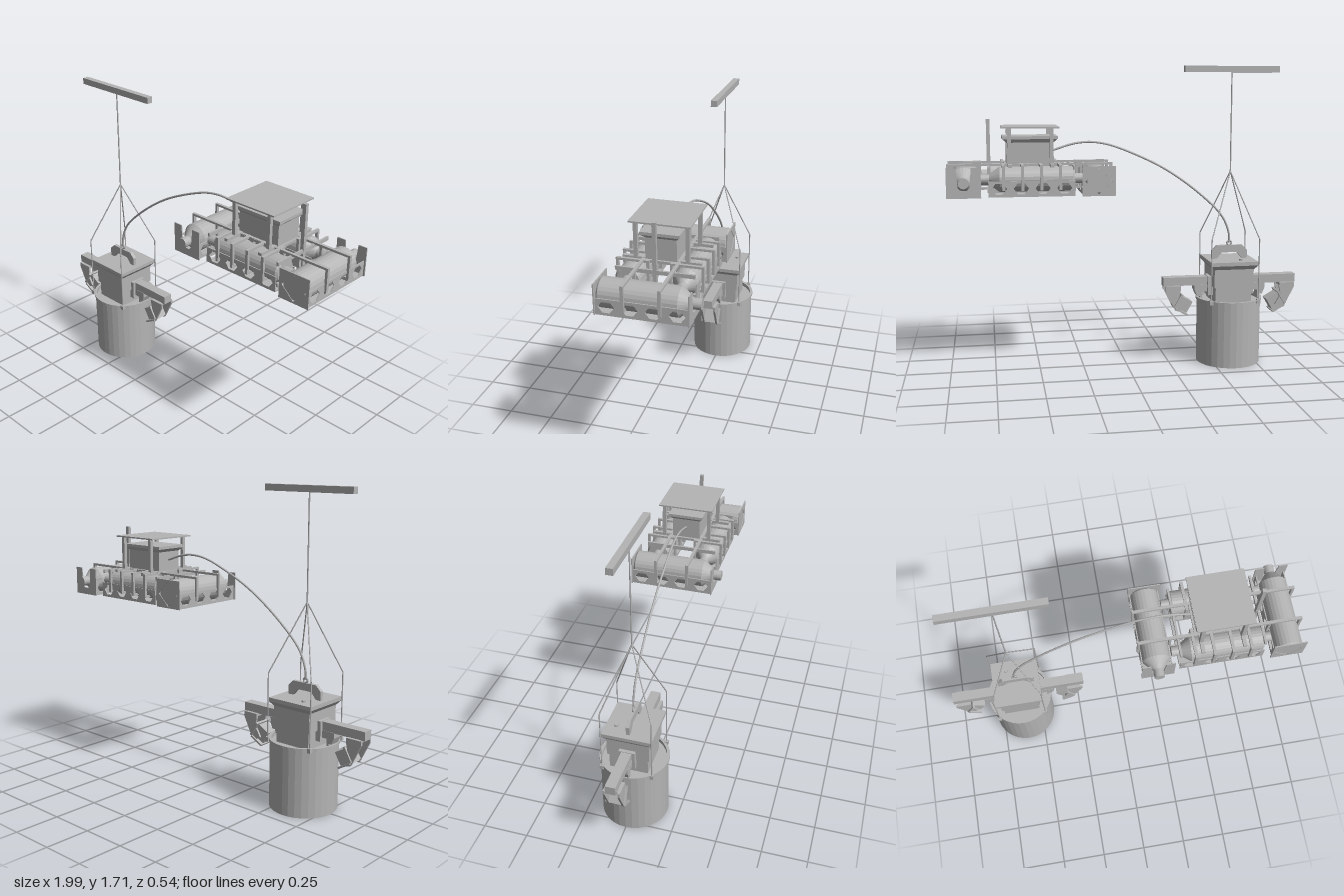
import * as THREE from 'three';

const grey = new THREE.MeshStandardMaterial({ color: 0xb4b4b4 });
grey.name = 'plain grey';
const sheetGrey = grey;

export function createModel() {
  const root = new THREE.Group();
  const V = (x, y, z = 0) => new THREE.Vector3(x, y, z);

  function group(name, parent = root, x = 0, y = 0, z = 0) {
    const g = new THREE.Group();
    g.name = name;
    g.position.set(x, y, z);
    parent.add(g);
    return g;
  }
  function add(parent, name, geo, x = 0, y = 0, z = 0) {
    const m = new THREE.Mesh(geo, sheetGrey);
    m.name = name;
    m.position.set(x, y, z);
    parent.add(m);
    return m;
  }
  // box from its limits on each axis
  function box(parent, name, x0, x1, y0, y1, z0, z1) {
    return add(parent, name, new THREE.BoxGeometry(x1 - x0, y1 - y0, z1 - z0),
      (x0 + x1) / 2, (y0 + y1) / 2, (z0 + z1) / 2);
  }
  const faceted = (geo) => {
    const g = geo.toNonIndexed();
    g.computeVertexNormals();
    return g;
  };
  // flat plate in the xy plane, centred on z = 0, with optional holes
  function plate(parent, name, pts, t, holes = []) {
    const s = new THREE.Shape(pts.map(p => new THREE.Vector2(...p)));
    for (const h of holes) s.holes.push(new THREE.Path(h.map(p => new THREE.Vector2(...p))));
    const geo = new THREE.ExtrudeGeometry(s, { depth: t, bevelEnabled: false });
    geo.translate(0, 0, -t / 2);
    return add(parent, name, geo);
  }
  const rect = (x0, x1, y0, y1) => [[x0, y0], [x1, y0], [x1, y1], [x0, y1]];
  function rod(parent, name, a, b, r) {
    const d = b.clone().sub(a);
    const m = add(parent, name, new THREE.CylinderGeometry(r, r, d.length(), 8));
    m.position.copy(a).addScaledVector(d, 0.5);
    m.quaternion.setFromUnitVectors(V(0, 1), d.normalize());
    return m;
  }
  // four-sided flare from half sizes (bx, bz) up to (tx, tz)
  function flare(parent, name, bx, bz, k, y0, y1) {
    const geo = new THREE.CylinderGeometry(Math.SQRT2 * k, Math.SQRT2, y1 - y0, 4, 1);
    geo.rotateY(Math.PI / 4);
    geo.scale(bx, 1, bz);
    return add(parent, name, faceted(geo), 0, (y0 + y1) / 2, 0);
  }

  // ---- Hoist bar, cable and slings
  const cx = -0.605;
  const hoist = group('hoist', root, cx);
  box(hoist, 'hoistBar', -0.275, 0.275, 1.675, 1.71, -0.018, 0.018);
  rod(hoist, 'hoistCable', V(0, 1.11), V(0, 1.68), 0.004);
  for (const sx of [-1, 1]) for (const sz of [-1, 1]) {
    const k = V(sx * 0.139, 0.74, sz * 0.139);
    rod(hoist, 'slingUpper', V(0, 1.115), k, 0.0035);
    rod(hoist, 'slingLower', k, V(k.x, 0.375, k.z), 0.0035);
    box(hoist, 'slingLug', k.x - 0.01, k.x + 0.01, 0.365, 0.39, k.z - 0.01, k.z + 0.01);
  }

  // ---- Open-bottomed drum
  const drum = group('drum', root, cx);
  const wall = [[0.178, 0.11], [0.178, 0], [0.185, 0], [0.185, 0.37], [0.192, 0.37], [0.192, 0.384],
    [0.176, 0.384], [0.176, 0.36]].map(p => new THREE.Vector2(...p));
  add(drum, 'drumWall', faceted(new THREE.LatheGeometry(wall, 32)));
  add(drum, 'drumLid', faceted(new THREE.CylinderGeometry(0.177, 0.177, 0.01, 32)), 0, 0.357, 0);
  add(drum, 'drumInnerPlate', faceted(new THREE.CylinderGeometry(0.179, 0.179, 0.01, 32)), 0, 0.115, 0);

  // ---- Drive head above the drum
  const head = group('driveHead', root, cx);
  box(head, 'headBase', -0.105, 0.105, 0.36, 0.455, -0.107, 0.107);
  box(head, 'headBody', -0.115, 0.115, 0.455, 0.575, -0.117, 0.117);
  flare(head, 'headFlare', 0.117, 0.117, 1.17, 0.562, 0.586);
  box(head, 'headCap', -0.137, 0.137, 0.586, 0.607, -0.137, 0.137);
  plate(head, 'liftingHandle', [[-0.105, 0.607], [-0.075, 0.607], [-0.045, 0.643], [0.045, 0.643],
    [0.075, 0.607], [0.105, 0.607], [0.105, 0.655], [0.075, 0.685], [-0.075, 0.685], [-0.105, 0.655]], 0.02);
  add(head, 'liftingEye', new THREE.TorusGeometry(0.013, 0.005, 8, 20), 0, 0.698, 0);
  add(head, 'fillerCap', new THREE.CylinderGeometry(0.012, 0.012, 0.01, 16), -0.05, 0.611, -0.08);

  // ---- Side arms carrying tilted pods
  for (const s of [-1, 1]) {
    const arm = group(s > 0 ? 'leftArm' : 'rightArm', root, cx);
    if (s < 0) arm.rotation.y = Math.PI;
    box(arm, 'armBeam', 0.1, 0.395, 0.458, 0.507, -0.028, 0.028);
    box(arm, 'armCollar', 0.1, 0.135, 0.4, 0.51, -0.045, 0.045);
    plate(arm, 'armBracket', [[0.13, 0.46], [0.13, 0.42], [0.165, 0.42], [0.165, 0.375], [0.178, 0.375],
      [0.178, 0.395], [0.195, 0.395], [0.21, 0.43], [0.21, 0.46]], 0.06);
    for (const z of [-0.04, 0.04]) {
      plate(arm, 'podHanger', [[0.295, 0.435], [0.305, 0.39], [0.27, 0.33], [0.305, 0.31], [0.325, 0.315],
        [0.385, 0.435], [0.385, 0.46], [0.295, 0.46]], 0.012).position.z = z;
    }
    box(arm, 'podYoke', 0.295, 0.375, 0.445, 0.46, -0.046, 0.046);
    const pod = group('pod', arm, 0.278, 0.354, 0);
    pod.rotation.z = Math.PI / 6;
    box(pod, 'podBody', -0.045, 0.04, -0.045, 0.035, -0.034, 0.034);
    box(pod, 'podFrontPlate', -0.052, 0.03, -0.05, -0.04, -0.055, 0.055);
    box(pod, 'podBackPlate', 0.03, 0.042, -0.042, 0.045, -0.055, 0.055);
  }

  // ---- Feed hose from the head to the float
  const path = new THREE.CatmullRomCurve3([V(-0.605, 0.7), V(-0.602, 0.755), V(-0.56, 0.855), V(-0.43, 0.985),
    V(-0.22, 1.135), V(0, 1.24), V(0.12, 1.28), V(0.21, 1.291), V(0.3, 1.282), V(0.42, 1.245)]);
  add(root, 'feedHose', new THREE.TubeGeometry(path, 60, 0.006, 8));

  // ---- Pontoon in a perforated cradle; long axis is local x, valve end is +x
  function pontoon(name, x, z, angle, len, r, straps, endPlates) {
    const p = group(name, root, x, 0, z);
    p.rotation.y = angle;
    const h = len / 2, w = r + 0.003, cy = 1.172 - r;
    const prof = [[0, -h], [r * 0.85, -h], [r, -h + 0.012], [r, h - 0.06], [0.028, h - 0.005],
      [0.028, h + 0.04], [0, h + 0.04]].map(q => new THREE.Vector2(...q));
    const tank = new THREE.LatheGeometry(prof, 24);
    tank.rotateZ(-Math.PI / 2);
    add(p, 'tank', faceted(tank), 0, cy, 0);
    const holes = [-1.5, -0.5, 0.5, 1.5].map(i => {
      const c = i * len * 0.25;
      return [[c - 0.04, 1.06], [c - 0.018, 1.03], [c + 0.018, 1.03], [c + 0.04, 1.06],
        [c + 0.02, 1.088], [c - 0.02, 1.088]];
    });
    for (const s of [-1, 1]) {
      plate(p, 'cradleSide', rect(-h, h, 1.016, 1.1), 0.006, holes).position.z = s * w;
    }
    box(p, 'cradleFloor', -h, h, 1.015, 1.022, -w, w);
    for (const sx of straps) {
      const ring = plate(p, 'strap', rect(-w - 0.014, w + 0.014, 1.05, 1.184), 0.016,
        [rect(-w, w, 1.062, 1.172)]);
      ring.rotation.y = Math.PI / 2;
      ring.position.x = sx;
    }
    if (endPlates) {
      // slotted plate round the valve, pierced plate at the closed end
      const e = 0.09, m = 1.094;
      const slot = plate(p, 'slottedEndPlate', [[-e, 1.015], [e, 1.015], [e, 1.175], [0.04, 1.175], [0.03, 1.07],
        [0.015, 1.055], [-0.015, 1.055], [-0.03, 1.07], [-0.04, 1.175], [-e, 1.175]], 0.006);
      const solid = plate(p, 'closedEndPlate', rect(-e, e, 1.015, 1.175), 0.006,
        [[[-0.075, m], [0, m - 0.07], [0.075, m], [0, m + 0.07]]]);
      slot.rotation.y = solid.rotation.y = Math.PI / 2;
      slot.position.x = h;
      solid.position.x = -h;
    } else {
      const stub = add(p, 'endStub', new THREE.CylinderGeometry(0.028, 0.028, 0.05, 16), -h - 0.02, cy, 0);
      stub.rotation.z = Math.PI / 2;
    }
  }
  const quarter = Math.PI / 2;
  pontoon('rightCrossPontoon', 0.185, 0, -quarter, 0.46, 0.075, [-0.09, 0.09], true);
  pontoon('leftCrossPontoon', 0.898, 0, quarter, 0.46, 0.075, [-0.09, 0.09], true);
  pontoon('frontPontoon', 0.54, 0.138, Math.PI, 0.46, 0.068, [-0.15, -0.05, 0.05, 0.15], false);
  pontoon('backPontoon', 0.54, -0.138, 0, 0.46, 0.068, [-0.15, -0.05, 0.05, 0.15], false);

  // ---- Frame tying the pontoons together
  const frame = group('floatFrame');
  for (const x of [0.312, 0.768]) {
    box(frame, 'endRail', x - 0.006, x + 0.006, 1.04, 1.06, -0.2, 0.2);
    box(frame, 'upperEndRail', x - 0.006, x + 0.006, 1.155, 1.175, -0.2, 0.2);
  }
  for (const z of [-0.09, 0.09]) for (const y of [1.045, 1.172]) {
    box(frame, 'longRail', 0.1, 0.985, y, y + 0.012, z - 0.008, z + 0.008);
  }
  for (const x of [0.43, 0.655]) box(frame, 'deckBeam', x - 0.01, x + 0.01, 1.17, 1.186, -0.2, 0.2);
  box(frame, 'mast', 0.755, 0.775, 1.04, 1.42, -0.01, 0.01);

  // ---- Machine box and canopy on the float
  const cabin = group('machineBox', root, 0.542);
  box(cabin, 'boxDeck', -0.14, 0.14, 1.168, 1.182, -0.1, 0.1);
  box(cabin, 'boxBody', -0.128, 0.128, 1.182, 1.3, -0.08, 0.08);
  flare(cabin, 'boxFlare', 0.128, 0.082, 1.15, 1.295, 1.314);
  box(cabin, 'boxCap', -0.15, 0.15, 1.314, 1.33, -0.1, 0.1);
  box(cabin, 'canopyRoof', -0.155, 0.155, 1.374, 1.382, -0.156, 0.156);
  for (const x of [-0.113, 0.113]) for (const z of [-0.132, 0.132]) {
    box(cabin, 'canopyPost', x - 0.01, x + 0.01, 1.17, 1.376, z - 0.01, z + 0.01);
  }
  return root;
}
